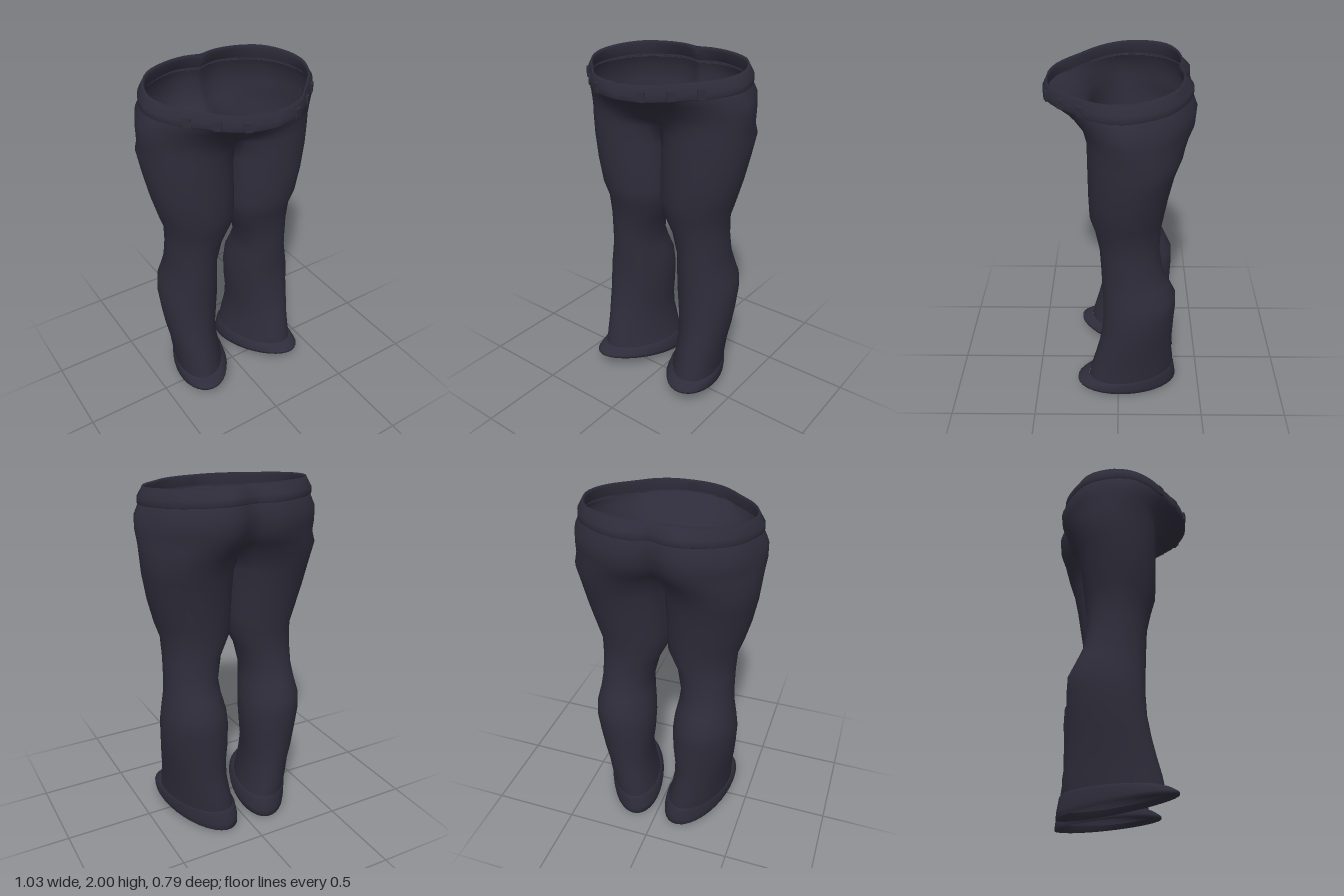
import * as THREE from 'three';
import { mergeVertices } from 'three/addons/utils/BufferGeometryUtils.js';

const N = 28;            // steps around the outside of one leg, front seam to back seam
const M = 6;             // steps across the inner thigh
const CUT = Math.PI * 5 / 6;

// Closed leg section: height, inner x, outer x, back z, front z, tilt along z.
// Lower sections lean outwards at the front, so the feet point apart.
function legRow([y, x0, x1, z0, z1, tilt = 0]) {
  const pts = [];
  const xc = (x0 + x1) / 2, zc = (z0 + z1) / 2;
  const toeOut = 0.45 * Math.max(0, 1 - y / 0.8);
  for (let i = 0; i < N + M; i++) {
    const a = i <= N ? CUT - 2 * CUT * i / N
      : -CUT - (2 * Math.PI - 2 * CUT) * (i - N) / M;
    const x = xc + (x1 - x0) / 2 * Math.cos(a - toeOut);
    const z = zc + (z1 - z0) / 2 * Math.sin(a);
    pts.push(new THREE.Vector3(Math.max(x, 0), y + tilt * z, z));
  }
  return pts;
}

// Open hip section from front centre round the side to back centre
function hipRow(y, tilt, profile, scale = 1) {
  const curve = new THREE.CatmullRomCurve3(profile.map(([x, z]) => new THREE.Vector3(x * scale, 0, z * scale)));
  return curve.getSpacedPoints(N).map((p) => new THREE.Vector3(Math.max(p.x, 0), y + tilt * p.z, p.z));
}

// Skin rows (listed bottom to top) for each side and weld the seam
function skin(rows, sides) {
  const pos = [], index = [];
  for (const side of sides) {
    const starts = [];
    for (const row of rows) {
      starts.push(pos.length / 3);
      for (const p of row) pos.push(p.x * side, p.y, p.z);
    }
    for (let r = 0; r < rows.length - 1; r++) {
      const closed = rows[r].length > N + 1 && rows[r + 1].length > N + 1;
      const steps = closed ? N + M : N;
      for (let i = 0; i < steps; i++) {
        const j = closed ? (i + 1) % steps : i + 1;
        const a = starts[r] + i, b = starts[r] + j, c = starts[r + 1] + j, d = starts[r + 1] + i;
        if (side > 0) index.push(a, b, c, a, c, d);
        else index.push(a, c, b, a, d, c);
      }
    }
  }
  let geo = new THREE.BufferGeometry();
  geo.setAttribute('position', new THREE.Float32BufferAttribute(pos, 3));
  geo.setIndex(index);
  geo = mergeVertices(geo, 1e-4);
  geo.computeVertexNormals();
  return geo;
}

export function createModel() {
  const group = new THREE.Group();
  const cloth = new THREE.MeshStandardMaterial({ color: 0x2e2c3a, side: THREE.DoubleSide });
  cloth.name = 'dark cloth';
  const add = (name, geo) => {
    const mesh = new THREE.Mesh(geo, cloth);
    mesh.name = name;
    group.add(mesh);
    return mesh;
  };

  // Legs, hem to crotch
  const legs = [
    [0.13, 0.05, 0.385, -0.335, 0.175, 0.04],
    [0.20, 0.068, 0.388, -0.335, 0.163],
    [0.30, 0.082, 0.395, -0.322, 0.135],
    [0.40, 0.085, 0.41, -0.322, 0.11],
    [0.52, 0.07, 0.422, -0.325, 0.09],
    [0.64, 0.063, 0.43, -0.33, 0.085],
    [0.73, 0.07, 0.42, -0.327, 0.087],
    [0.82, 0.085, 0.4, -0.285, 0.092],
    [0.90, 0.09, 0.392, -0.25, 0.095],
    [1.03, 0.06, 0.39, -0.227, 0.103],
    [1.15, 0, 0.395, -0.232, 0.13],
    [1.24, -0.006, 0.425, -0.245, 0.155],
    [1.38, -0.008, 0.463, -0.265, 0.158],
    [1.52, -0.01, 0.49, -0.292, 0.158],
    [1.63, -0.01, 0.503, -0.328, 0.158],
  ].map(legRow);

  // Close the crotch on the centre line
  legs[legs.length - 1].forEach((p, i) => { if (i === 0 || i >= N) p.x = 0; });

  // Hips, belly and seat
  const band = [[0, 0.385], [0.1, 0.37], [0.2, 0.325], [0.31, 0.225], [0.42, 0.115], [0.475, 0],
    [0.465, -0.11], [0.39, -0.25], [0.26, -0.335], [0.12, -0.37], [0, -0.335]];
  const hips = [
    hipRow(1.69, 0, [[0, 0.12], [0.1, 0.15], [0.2, 0.16], [0.32, 0.145], [0.445, 0.07], [0.505, -0.04],
      [0.485, -0.15], [0.4, -0.26], [0.26, -0.34], [0.12, -0.355], [0, -0.295]]),
    hipRow(1.76, 0, [[0, 0.195], [0.1, 0.2], [0.2, 0.19], [0.32, 0.157], [0.445, 0.08], [0.514, -0.03],
      [0.49, -0.14], [0.41, -0.27], [0.27, -0.36], [0.12, -0.385], [0, -0.33]]),
    hipRow(1.83, -0.03, [[0, 0.285], [0.1, 0.28], [0.2, 0.255], [0.31, 0.2], [0.43, 0.11], [0.508, -0.01],
      [0.49, -0.12], [0.41, -0.27], [0.27, -0.36], [0.12, -0.395], [0, -0.35]]),
    hipRow(1.885, -0.06, band),
  ];
  add('trousers', skin([...legs, ...hips], [1, -1]));

  // Slim waistband with an inner fold
  const top = [[0, 0.37], [0.1, 0.36], [0.2, 0.315], [0.3, 0.22], [0.4, 0.115], [0.45, 0],
    [0.44, -0.12], [0.36, -0.25], [0.24, -0.31], [0.1, -0.33], [0, -0.31]];
  add('waistband', skin([
    hipRow(1.88, -0.06, band, 0.995),
    hipRow(1.888, -0.06, band, 1.015),
    hipRow(1.92, -0.065, band, 1.012),
    hipRow(1.955, -0.08, top, 1.012),
    hipRow(1.971, -0.085, top, 0.995),
    hipRow(1.955, -0.08, top, 0.965),
    hipRow(1.9, -0.06, band, 0.955),
  ], [1, -1]));

  // Belt loops along the front of the waistband
  const path = hipRow(1.912, -0.065, band, 1.012);
  for (const side of [1, -1]) {
    for (const i of [3, 6, 9]) {
      const p = path[i], t = path[i + 1].clone().sub(path[i - 1]);
      const loop = add('beltLoop', new THREE.BoxGeometry(0.04, 0.05, 0.014));
      loop.position.set(p.x * side, p.y, p.z);
      loop.rotation.y = Math.atan2(-t.z, t.x) * side;
    }
  }

  // Flared cuffs with a turned-in lip
  const cuff = [
    [0.09, 0.06, 0.375, -0.325, 0.19, 0.14],
    [0.066, 0.043, 0.39, -0.345, 0.23, 0.17],
    [0.062, 0.03, 0.4, -0.36, 0.246, 0.17],
    [0.085, 0.028, 0.404, -0.358, 0.246, 0.13],
    [0.125, 0.038, 0.398, -0.347, 0.21, 0.05],
    [0.137, 0.05, 0.386, -0.335, 0.177, 0.04],
  ].map(legRow);
  add('leftCuff', skin(cuff, [1]));
  add('rightCuff', skin(cuff, [-1]));

  return group;
}
